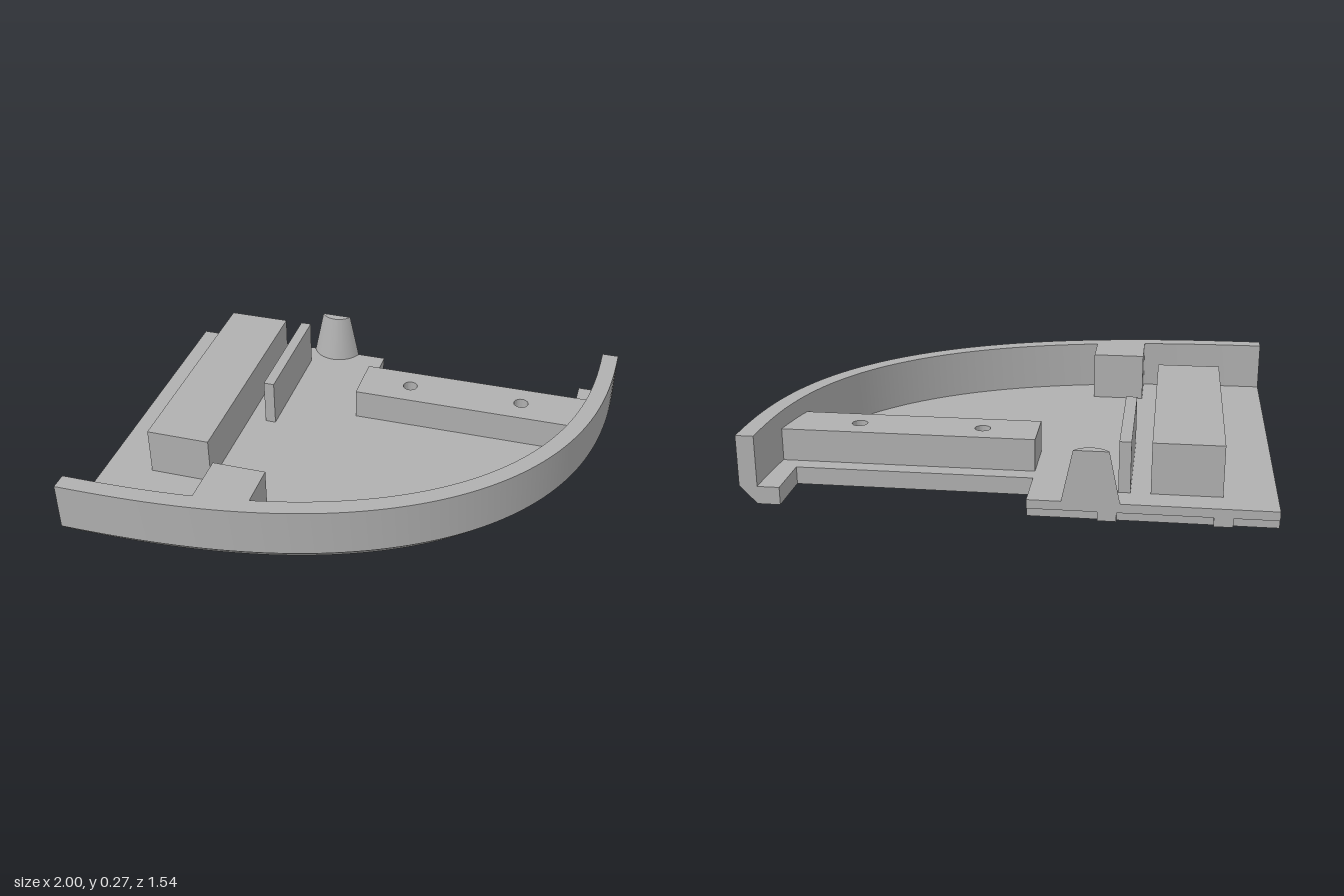
import * as THREE from 'three';
import { toCreasedNormals } from 'three/addons/utils/BufferGeometryUtils.js';

const A = 2, B = 1.54, CX = -1, CZ = -0.77, N = 2.5; // quarter superellipse outline
const TOP = 0.27, FLOOR = 0.07, SKIN = 0.035;        // wall top, floor top, pocket ceiling
const NOTCH = { x0: -0.085, x1: 0.845, z: -0.56 };

// Point on the outline moved inwards by d; t runs 0..1 from front edge to back edge
function outline(t, d) {
  const a = (1 - t) * Math.PI / 2;
  const u = t === 0 ? 0 : Math.pow(Math.cos(a), 2 / N);
  const v = t === 1 ? 0 : Math.pow(Math.sin(a), 2 / N);
  const n = new THREE.Vector2(Math.pow(u, N - 1) / A, Math.pow(v, N - 1) / B).normalize();
  return [CX + A * u - n.x * d, CZ + B * v - n.y * d];
}
// Reach of the inset outline along x at a given z, and along z at a given x
const reach = (p, len, other) => len * Math.pow(Math.max(0, 1 - Math.pow(p / other, N)), 1 / N);
const maxX = (z, d) => CX + reach(z - CZ, A - d, B - d);
const maxZ = (x, d) => CZ + reach(x - CX, B - d, A - d);

// Curved wall: a chamfered section swept along the outline
function wallGeometry() {
  const section = [[0, TOP], [0, FLOOR], [0.067, 0], [0.12, 0], [0.12, 0.05], [0.07, 0.05], [0.07, TOP]];
  const caps = [[0, 1, 5], [0, 5, 6], [1, 2, 5], [2, 3, 4], [2, 4, 5]];
  const steps = 64, m = section.length, pos = [], idx = [];
  for (let i = 0; i <= steps; i++) {
    for (const [d, y] of section) {
      const [x, z] = outline(i / steps, d);
      pos.push(x, y, z);
    }
  }
  for (let i = 0; i < steps; i++) {
    for (let j = 0; j < m; j++) {
      const a = i * m + j, b = i * m + (j + 1) % m;
      idx.push(a, b, b + m, a, b + m, a + m);
    }
  }
  for (const [a, b, c] of caps) {
    const e = steps * m;
    idx.push(a, c, b, e + a, e + b, e + c);
  }
  const g = new THREE.BufferGeometry();
  g.setAttribute('position', new THREE.Float32BufferAttribute(pos, 3));
  g.setIndex(idx);
  return toCreasedNormals(g, Math.PI / 6);
}

// Plan shape (drawn in x, -z) raised from y0 to y1
function raise(shape, y0, y1) {
  const g = new THREE.ExtrudeGeometry(shape, { depth: y1 - y0, bevelEnabled: false, curveSegments: 24 });
  g.rotateX(-Math.PI / 2).translate(0, y0, 0);
  return toCreasedNormals(g, Math.PI / 6);
}

function box(x0, x1, y0, y1, z0, z1) {
  return new THREE.BoxGeometry(x1 - x0, y1 - y0, z1 - z0)
    .translate((x0 + x1) / 2, (y0 + y1) / 2, (z0 + z1) / 2);
}

// Tapered post sliced flat by the back plane
function postGeometry() {
  const zc = -0.81, h = TOP - FLOOR, cut = CZ - zc;
  const g = new THREE.CylinderGeometry(0.077, 0.115, h, 64);
  const p = g.attributes.position;
  for (let i = 0; i < p.count; i++) {
    const r = p.getY(i) > 0 ? 0.077 : 0.115;
    const chord = Math.sqrt(r * r - cut * cut);
    if (p.getZ(i) < cut) {
      p.setX(i, THREE.MathUtils.clamp(p.getX(i), -chord, chord));
      p.setZ(i, cut);
    }
  }
  g.translate(-0.32, FLOOR + h / 2, zc);
  return toCreasedNormals(g, Math.PI / 6);
}

export function createModel() {
  const model = new THREE.Group();
  const grey = new THREE.MeshStandardMaterial({ color: 0xb0b0b0 });
  grey.name = 'plain grey';
  const add = (name, geometry, parent = model) => {
    const mesh = new THREE.Mesh(geometry, grey);
    mesh.name = name;
    parent.add(mesh);
  };

  add('curvedWall', wallGeometry());

  // Floor plate with the rectangular back notch
  const floor = new THREE.Shape();
  floor.moveTo(CX, -CZ);
  for (let i = 0; i <= 48; i++) {
    const [x, z] = outline(i / 48, 0.08 - 0.02);
    floor.lineTo(x, -z);
  }
  floor.lineTo(NOTCH.x1, -CZ);
  floor.lineTo(NOTCH.x1, -NOTCH.z);
  floor.lineTo(NOTCH.x0, -NOTCH.z);
  floor.lineTo(NOTCH.x0, -CZ);
  add('floorPlate', raise(floor, SKIN, FLOOR));

  // Raised blocks on the floor
  add('largeBlock', box(-0.8, -0.535, FLOOR, TOP, -0.66, 0.34));
  add('thinFin', box(-0.46, -0.415, FLOOR, TOP, -0.66, -0.13));
  add('wallBoss', box(-0.465, -0.245, FLOOR, TOP, 0.46, 0.69));
  add('slicedPost', postGeometry());

  // Mounting bar with two screw holes
  const holes = [0.135, 0.63], holeZ = -0.385;
  const bar = new THREE.Shape();
  bar.moveTo(NOTCH.x0, 0.275);
  bar.lineTo(0.885, 0.275);
  bar.lineTo(0.92, 0.49);
  bar.lineTo(NOTCH.x0, 0.49);
  for (const x of holes) {
    const hole = new THREE.Path();
    hole.absarc(x, -holeZ, 0.031, 0, Math.PI * 2, true);
    bar.holes.push(hole);
  }
  add('mountingBar', raise(bar, FLOOR, 0.2));

  // Underside grid of ribs
  const ribs = new THREE.Group();
  ribs.name = 'undersideRibs';
  model.add(ribs);
  const w = 0.035, inset = 0.1;
  for (const z of [-0.72, -0.3, 0.12, 0.54]) {
    const end = z < NOTCH.z ? NOTCH.x0 : maxX(z + w, inset);
    add('crossRib', box(CX, end, 0, SKIN, z - w, z + w), ribs);
  }
  for (const x of [-0.8, -0.38, 0.04, 0.46]) {
    const start = x > NOTCH.x0 ? NOTCH.z : CZ;
    add('lengthRib', box(x - w, x + w, 0, SKIN, start, maxZ(x + w, inset)), ribs);
  }
  add('notchRib', box(NOTCH.x0, 0.9, 0, SKIN, NOTCH.z, NOTCH.z + 0.06), ribs);
  add('tailRib', box(NOTCH.x1, 0.905, 0, SKIN, CZ, NOTCH.z), ribs);
  for (const x of holes) {
    add('screwBoss', new THREE.CylinderGeometry(0.11, 0.11, SKIN, 32).translate(x, SKIN / 2, holeZ), ribs);
  }
  return model;
}
